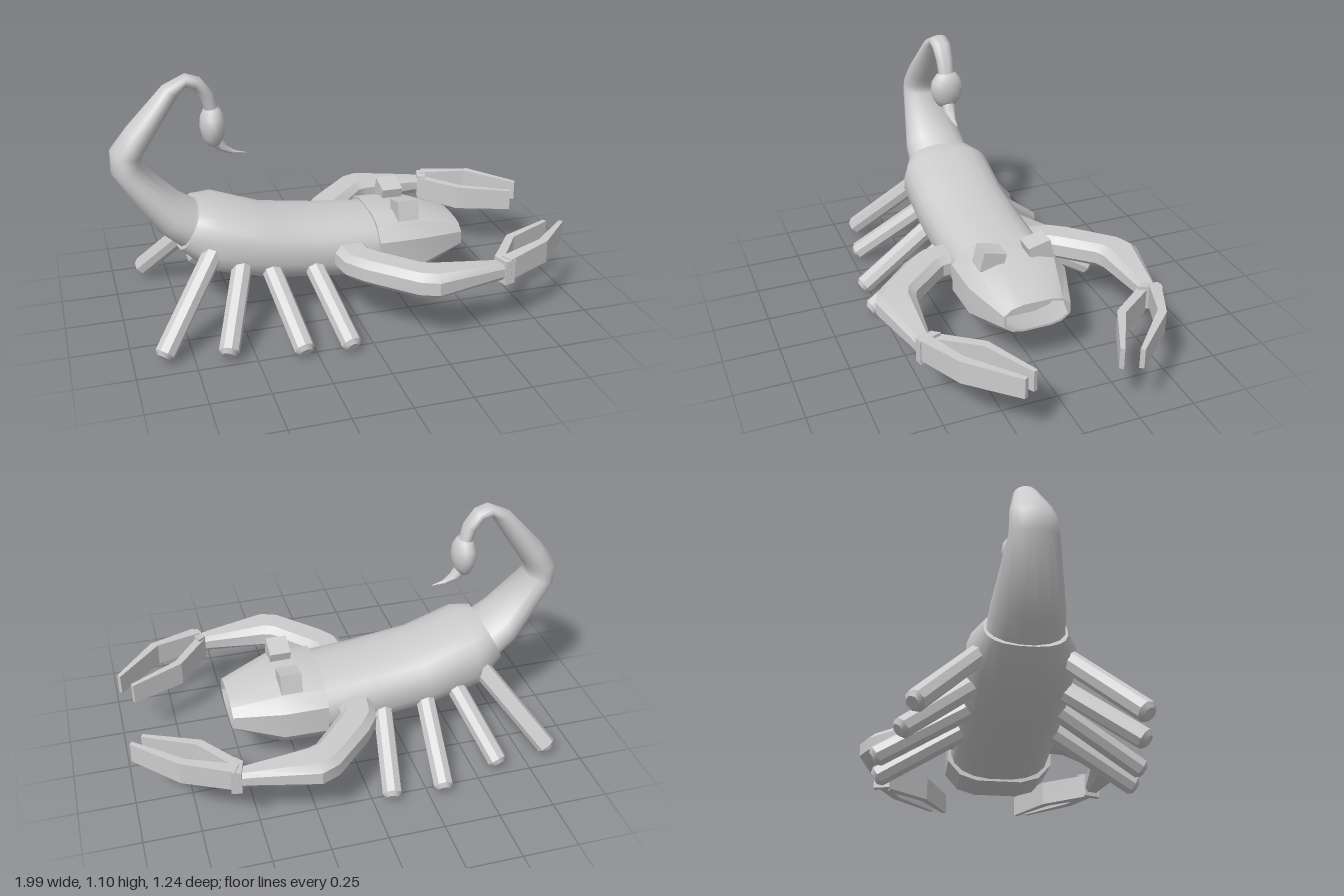
import * as THREE from 'three';
import { toCreasedNormals } from 'three/addons/utils/BufferGeometryUtils.js';

const material = new THREE.MeshStandardMaterial({ color: 0xcccccc });
const V = (x, y, z) => new THREE.Vector3(x, y, z);
const Y = V(0, 1, 0), Z = V(0, 0, 1);

// Cross-section outlines in the unit square
const round = (n, power) => Array.from({ length: n }, (_, i) => {
  const t = (i + 0.5) / n * Math.PI * 2;
  const f = (v) => Math.sign(v) * Math.abs(v) ** power;
  return [f(Math.cos(t)), f(Math.sin(t))];
});
const box = [[1, 1], [-1, 1], [-1, -1], [1, -1]];
const octagon = [[1, 0.5], [0.6, 1], [-0.6, 1], [-1, 0.5], [-1, -0.5], [-0.6, -1], [0.6, -1], [1, -0.5]];
const headOutline = [[1, 0.42], [0.84, 0.76], [0.42, 1], [-0.42, 1], [-0.84, 0.76], [-1, 0.42],
  [-1, -0.42], [-0.84, -0.76], [-0.42, -1], [0.42, -1], [0.84, -0.76], [1, -0.42]];

// Closed skin through rings [a, b, w]: a and b are opposite edges, w the half width along axis
function loft(rings, outline, axis, crease) {
  const pos = [], idx = [], n = outline.length;
  for (const [a, b, w] of rings) {
    const mid = a.clone().add(b).multiplyScalar(0.5), half = a.clone().sub(mid);
    for (const [u, v] of outline) {
      pos.push(...mid.clone().addScaledVector(half, u).addScaledVector(axis, v * w).toArray());
    }
  }
  const last = (rings.length - 1) * n;
  for (let r = 0; r < last; r += n) {
    for (let i = 0; i < n; i++) {
      const j = (i + 1) % n;
      idx.push(r + i, r + j, r + n + j, r + i, r + n + j, r + n + i);
    }
  }
  for (let i = 1; i < n - 1; i++) idx.push(0, i + 1, i, last, last + i, last + i + 1);
  // Turn the faces outward if the enclosed volume is negative
  const at = (k) => V(...pos.slice(k * 3, k * 3 + 3));
  let volume = 0;
  for (let i = 0; i < idx.length; i += 3) volume += at(idx[i]).dot(at(idx[i + 1]).cross(at(idx[i + 2])));
  if (volume < 0) idx.reverse();
  const g = new THREE.BufferGeometry();
  g.setAttribute('position', new THREE.Float32BufferAttribute(pos, 3));
  g.setIndex(idx);
  return toCreasedNormals(g, crease);
}

// Rings standing in the xy plane, and rings lying flat around height y
const upright = (rows) => rows.map(([ax, ay, bx, by, w]) => [V(ax, ay, 0), V(bx, by, 0), w]);
const flat = (rows, side) => rows.map(([ax, az, bx, bz, y, w]) => [V(ax, y, az * side), V(bx, y, bz * side), w]);

export function createModel() {
  const model = new THREE.Group();
  const add = (name, geometry, parent = model) => {
    const m = new THREE.Mesh(geometry, material);
    m.name = name;
    parent.add(m);
    return m;
  };

  // Body, rising towards the rear
  add('body', loft(upright([
    [0.13, 0.41, 0.13, 0.12, 0.22], [-0.1, 0.43, -0.1, 0.138, 0.22], [-0.35, 0.465, -0.38, 0.17, 0.22],
    [-0.57, 0.545, -0.62, 0.235, 0.22], [-0.645, 0.545, -0.745, 0.345, 0.165],
  ]), round(20, 0.8), Z, 0.75));

  // Tail, curling up and forward
  add('tail', loft(upright([
    [-0.65, 0.535, -0.74, 0.35, 0.155], [-0.72, 0.58, -0.82, 0.42, 0.147],
    [-0.87, 0.73, -1, 0.705, 0.1], [-0.865, 0.765, -0.997, 0.8, 0.097], [-0.84, 0.805, -0.925, 0.89, 0.09],
    [-0.7, 1.015, -0.765, 1.06, 0.052], [-0.675, 1.05, -0.665, 1.105, 0.046], [-0.64, 1.04, -0.605, 1.085, 0.045],
    [-0.61, 0.995, -0.555, 1.02, 0.04], [-0.59, 0.93, -0.535, 0.93, 0.036],
  ]), round(16, 1), Z, 1));

  // Venom bulb and stinger
  const bulbProfile = [[0, 0.775], [0.03, 0.79], [0.046, 0.825], [0.055, 0.87], [0.05, 0.91], [0.034, 0.945], [0, 0.965]];
  const bulb = add('tailBulb', new THREE.LatheGeometry(bulbProfile.map(([x, y]) => new THREE.Vector2(x, y)), 16));
  bulb.position.x = -0.562;
  bulb.scale.z = 1.45;
  add('stinger', loft(upright([
    [-0.525, 0.81, -0.585, 0.8, 0.034], [-0.505, 0.775, -0.55, 0.76, 0.028],
    [-0.47, 0.748, -0.495, 0.738, 0.014], [-0.42, 0.734, -0.421, 0.731, 0.002],
  ]), round(10, 1), Z, 0.8));

  // Head with a hollow mouth
  add('head', loft(upright([
    [0.12, 0.416, 0.12, 0.112, 0.23], [0.32, 0.412, 0.32, 0.114, 0.226], [0.535, 0.335, 0.535, 0.202, 0.152],
    [0.535, 0.325, 0.535, 0.212, 0.14], [0.33, 0.39, 0.33, 0.14, 0.2],
  ]), headOutline, Z, 0.45));

  // Legs: bevelled eight-sided rods from root to foot
  const legs = {
    left: [[-0.64, 0.33, -0.2, -0.87, 0.035, -0.43], [-0.5, 0.27, -0.2, -0.61, 0.035, -0.47],
      [-0.345, 0.24, -0.2, -0.315, 0.03, -0.56], [-0.14, 0.23, -0.2, -0.08, 0.03, -0.55]],
    right: [[-0.64, 0.33, 0.2, -0.88, 0.035, 0.42], [-0.5, 0.27, 0.2, -0.62, 0.035, 0.48],
      [-0.36, 0.24, 0.2, -0.305, 0.03, 0.54], [-0.17, 0.23, 0.2, -0.105, 0.03, 0.555]],
  };
  for (const side of ['left', 'right']) {
    legs[side].forEach(([rx, ry, rz, fx, fy, fz], i) => {
      const foot = V(fx, fy, fz), dir = V(rx, ry, rz).sub(foot);
      const length = dir.length() + 0.06;
      const profile = [[0, 0], [0.027, 0], [0.044, 0.018], [0.044, length], [0, length]];
      const g = new THREE.LatheGeometry(profile.map(([x, y]) => new THREE.Vector2(x, y)), 8);
      const leg = add(`${side}Leg${i + 1}`, toCreasedNormals(g, 0.6));
      leg.position.copy(foot);
      leg.quaternion.setFromUnitVectors(Y, dir.normalize());
    });
  }

  for (const side of [-1, 1]) {
    const name = side < 0 ? 'left' : 'right';

    // Block eyes, tipped outward
    const eye = add(`${name}Eye`, new THREE.BoxGeometry(0.095, 0.09, 0.105));
    eye.position.set(0.27, 0.425, 0.112 * side);
    eye.rotation.x = -0.25 * side;

    // Bent arm: shoulder, elbow, wrist
    const pincer = new THREE.Group();
    pincer.name = `${name}Pincer`;
    model.add(pincer);
    add('arm', loft(flat([
      [-0.09, 0.195, 0.07, 0.21, 0.278, 0.057], [-0.07, 0.32, 0.075, 0.255, 0.278, 0.057],
      [-0.01, 0.405, 0.1, 0.285, 0.278, 0.057], [0.17, 0.585, 0.23, 0.43, 0.278, 0.058],
      [0.25, 0.62, 0.27, 0.445, 0.278, 0.057], [0.53, 0.555, 0.53, 0.475, 0.274, 0.04],
      [0.595, 0.54, 0.57, 0.475, 0.27, 0.036],
    ], side), octagon, Y, 0.5), pincer);

    // Palm and two bent blade fingers
    add('palm', loft(flat([
      [0.575, 0.55, 0.553, 0.475, 0.27, 0.055], [0.62, 0.545, 0.585, 0.445, 0.275, 0.055],
    ], side), box, Y, 0.3), pincer);
    add('outerFinger', loft(flat([
      [0.6, 0.548, 0.575, 0.5, 0.285, 0.048], [0.815, 0.45, 0.785, 0.425, 0.296, 0.052],
      [0.993, 0.255, 0.982, 0.238, 0.288, 0.046],
    ], side), box, Y, 0.3), pincer);
    add('innerFinger', loft(flat([
      [0.6, 0.478, 0.555, 0.47, 0.262, 0.054], [0.72, 0.315, 0.695, 0.288, 0.264, 0.056],
      [0.94, 0.195, 0.932, 0.177, 0.268, 0.048],
    ], side), box, Y, 0.3), pincer);
  }
  return model;
}
